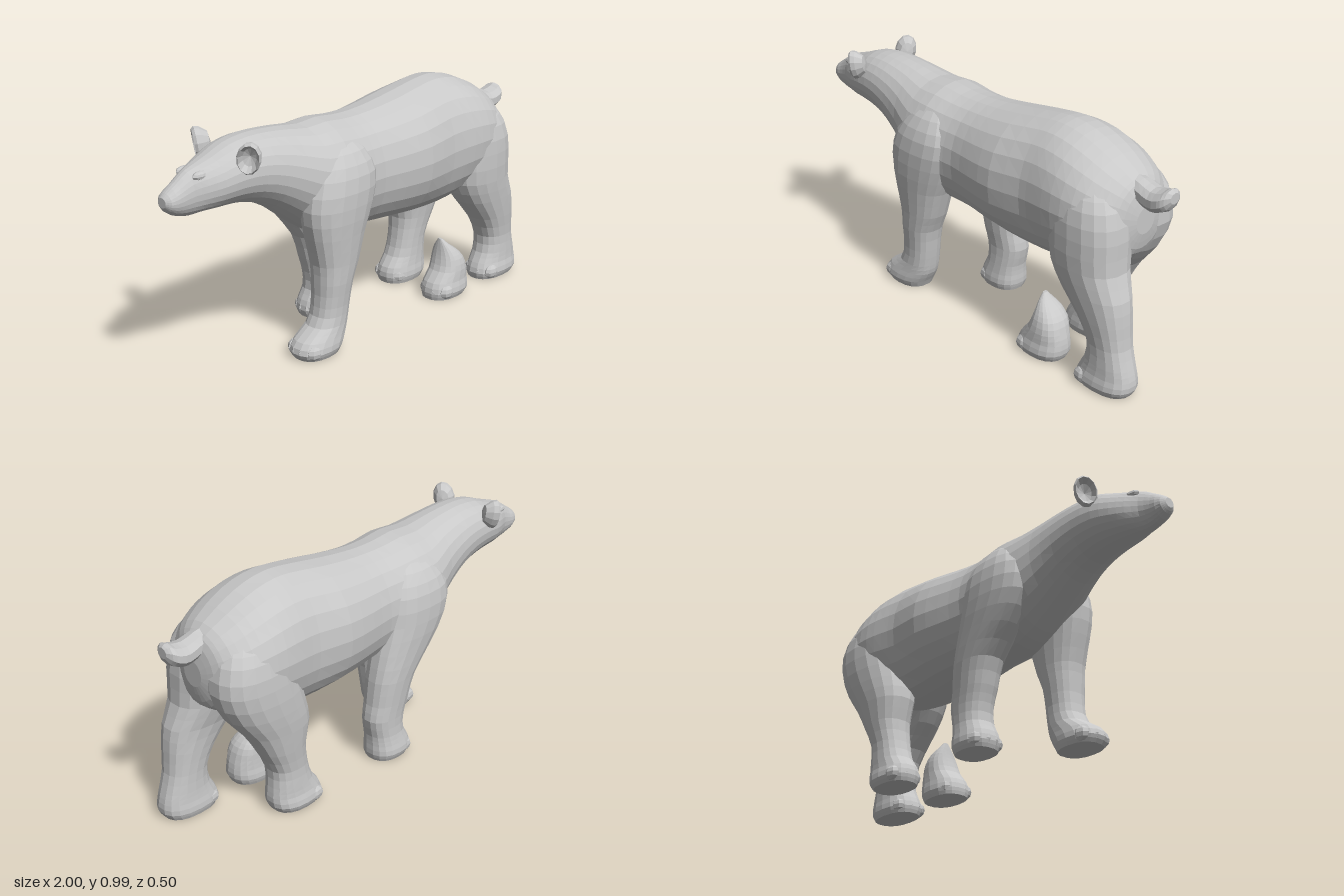
import * as THREE from 'three';

const grey = new THREE.MeshStandardMaterial({ color: 0xc8c8c8, flatShading: true });
grey.name = 'grey';

// Smoothly resample rows [position, a0, a1, b0, b1] along their first column
function resample(rows, sub) {
  const size = rows[0].length - 1;
  const spline = new THREE.CubicInterpolant(rows.map(r => r[0]), rows.flatMap(r => r.slice(1)), size);
  const out = [];
  for (let i = 0; i < rows.length - 1; i++) {
    for (let k = 0; k < sub; k++) {
      const p = rows[i][0] + (rows[i + 1][0] - rows[i][0]) * k / sub;
      out.push([p, ...Array.from(spline.evaluate(p)).slice(0, size)]);
    }
  }
  out.push(rows[rows.length - 1]);
  return out;
}

// Skin a stack of oval rings; place(p, u, v) maps to space with u x v pointing along p.
// A power below 1 squares the ovals off.
function loft(name, rows, place, sides, power) {
  const rings = resample(rows, 2);
  const soften = c => Math.sign(c) * Math.abs(c) ** power;
  const pos = [], index = [];
  for (const [p, u0, u1, v0, v1] of rings) {
    for (let j = 0; j < sides; j++) {
      const a = j / sides * Math.PI * 2;
      pos.push(...place(p, (u0 + u1) / 2 + (u1 - u0) / 2 * soften(Math.cos(a)),
        (v0 + v1) / 2 + (v1 - v0) / 2 * soften(Math.sin(a))));
    }
  }
  for (let i = 0; i < rings.length - 1; i++) {
    for (let j = 0; j < sides; j++) {
      const a = i * sides + j, b = i * sides + (j + 1) % sides;
      index.push(a, b, b + sides, a, b + sides, a + sides);
    }
  }
  const last = (rings.length - 1) * sides;
  for (let j = 1; j < sides - 1; j++) {
    index.push(0, j + 1, j, last, last + j, last + j + 1);
  }
  const geo = new THREE.BufferGeometry();
  geo.setAttribute('position', new THREE.Float32BufferAttribute(pos, 3));
  geo.setIndex(index);
  geo.computeVertexNormals();
  const mesh = new THREE.Mesh(geo, grey);
  mesh.name = name;
  return mesh;
}

// Rows along x: [x, bottom, top, half width]
const alongX = (name, rows, sides) =>
  loft(name, rows.map(([x, y0, y1, w]) => [x, y0, y1, -w, w]), (p, u, v) => [p, u, v], sides, 0.97);

// Rows upwards: [y, x0, x1, inner z, outer z], side = +1 or -1 in z
const alongY = (name, rows, side) =>
  loft(name, rows.map(([y, x0, x1, z0, z1]) => side > 0 ? [y, z0, z1, x0, x1] : [y, -z1, -z0, x0, x1]),
    (p, u, v) => [v, p, u], 18, 0.84);

function blob(name, x, y, z, rx, ry, rz) {
  const mesh = new THREE.Mesh(new THREE.SphereGeometry(1, 8, 6), grey);
  mesh.name = name;
  mesh.position.set(x, y, z);
  mesh.scale.set(rx, ry, rz);
  return mesh;
}

// Leg with four toes along the front of its paw
function leg(name, rows, side, toeX) {
  const g = new THREE.Group();
  g.name = name;
  g.add(alongY(name + 'Limb', rows, side));
  for (let i = 0; i < 4; i++) {
    const t = (i - 1.5) / 1.5;
    g.add(blob('toe', toeX + 0.045 + 0.018 * t * t, 0.036, side * (0.14 + t * 0.056), 0.045, 0.034, 0.026));
  }
  return g;
}

// Thick cupped ear facing the nose
function ear(side) {
  const profile = [[0, -0.026], [0.035, -0.022], [0.056, 0], [0.06, 0.014], [0.052, 0.022], [0.034, 0.004], [0, -0.006]]
    .map(([r, y]) => new THREE.Vector2(r, y));
  const geo = new THREE.LatheGeometry(profile, 12);
  geo.rotateZ(Math.PI / 2);
  const mesh = new THREE.Mesh(geo, grey);
  mesh.name = side > 0 ? 'earNear' : 'earFar';
  mesh.position.set(-0.685, 0.918, side * 0.136);
  mesh.rotation.set(side * 0.25, side * 0.6, 0);
  mesh.scale.set(1.35, 1.12, 0.8);
  return mesh;
}

export function createModel() {
  const bear = new THREE.Group();
  bear.name = 'bear';

  // Head, neck and trunk in one skin
  bear.add(alongX('body', [
    [-1, 0.765, 0.805, 0.022], [-0.985, 0.745, 0.82, 0.04], [-0.94, 0.72, 0.85, 0.05], [-0.89, 0.71, 0.883, 0.06],
    [-0.84, 0.712, 0.9, 0.085], [-0.78, 0.712, 0.92, 0.11], [-0.7, 0.71, 0.95, 0.13], [-0.6, 0.69, 0.963, 0.142],
    [-0.5, 0.643, 0.96, 0.155], [-0.4, 0.57, 0.95, 0.175], [-0.3, 0.495, 0.937, 0.208], [-0.2, 0.45, 0.943, 0.222],
    [-0.1, 0.443, 0.932, 0.213], [0, 0.438, 0.93, 0.207], [0.12, 0.428, 0.94, 0.225], [0.26, 0.417, 0.96, 0.243],
    [0.42, 0.407, 0.985, 0.23], [0.5, 0.413, 0.99, 0.236], [0.6, 0.435, 0.975, 0.244], [0.7, 0.47, 0.937, 0.236],
    [0.78, 0.505, 0.892, 0.205], [0.83, 0.53, 0.855, 0.16], [0.855, 0.565, 0.81, 0.11], [0.868, 0.63, 0.74, 0.05],
  ], 24));

  // Short upturned tail
  bear.add(alongX('tail', [
    [0.78, 0.765, 0.87, 0.045], [0.85, 0.755, 0.855, 0.052], [0.91, 0.742, 0.838, 0.058],
    [0.96, 0.755, 0.847, 0.06], [0.985, 0.772, 0.857, 0.048], [1, 0.8, 0.845, 0.025],
  ], 10));

  for (const side of [1, -1]) {
    bear.add(ear(side));
    bear.add(blob('brow', -0.85, 0.866, side * 0.046, 0.04, 0.018, 0.02));
  }

  // Near foreleg and shoulder
  bear.add(leg('forelegNear', [
    [0, -0.45, -0.25, 0.065, 0.215], [0.03, -0.468, -0.235, 0.055, 0.228], [0.075, -0.445, -0.21, 0.06, 0.222],
    [0.12, -0.375, -0.2, 0.065, 0.215], [0.2, -0.347, -0.188, 0.07, 0.215], [0.3, -0.345, -0.172, 0.065, 0.225],
    [0.38, -0.35, -0.138, 0.06, 0.23], [0.5, -0.38, -0.1, 0.05, 0.24], [0.62, -0.4, -0.05, 0.04, 0.248],
    [0.74, -0.37, -0.03, 0.04, 0.239], [0.83, -0.31, -0.07, 0.04, 0.196], [0.89, -0.25, -0.13, 0.05, 0.13],
  ], 1, -0.47));

  // Far foreleg and shoulder
  bear.add(leg('forelegFar', [
    [0, -0.135, 0.05, 0.065, 0.215], [0.03, -0.145, 0.06, 0.055, 0.228], [0.075, -0.135, 0.06, 0.06, 0.222],
    [0.12, -0.112, 0.062, 0.065, 0.215], [0.2, -0.115, 0.078, 0.07, 0.215], [0.27, -0.135, 0.066, 0.065, 0.22],
    [0.38, -0.17, 0.055, 0.06, 0.23], [0.5, -0.27, 0.03, 0.05, 0.24], [0.62, -0.35, 0, 0.04, 0.248],
    [0.74, -0.36, -0.02, 0.04, 0.239], [0.83, -0.31, -0.07, 0.04, 0.196], [0.89, -0.25, -0.13, 0.05, 0.13],
  ], -1, -0.15));

  // Near hind leg and thigh
  bear.add(leg('hindLegNear', [
    [0, 0.705, 0.945, 0.06, 0.21], [0.03, 0.695, 0.963, 0.05, 0.223], [0.075, 0.71, 0.962, 0.055, 0.215],
    [0.12, 0.735, 0.95, 0.058, 0.212], [0.2, 0.742, 0.928, 0.058, 0.21], [0.3, 0.69, 0.92, 0.05, 0.222],
    [0.4, 0.6, 0.908, 0.035, 0.234], [0.5, 0.54, 0.872, 0.002, 0.244], [0.63, 0.53, 0.868, -0.012, 0.248],
    [0.75, 0.53, 0.845, -0.01, 0.232], [0.83, 0.56, 0.79, 0, 0.185], [0.89, 0.6, 0.72, 0.03, 0.12],
  ], 1, 0.695));

  // Far hind leg and thigh
  bear.add(leg('hindLegFar', [
    [0, 0.385, 0.6, 0.06, 0.21], [0.03, 0.375, 0.62, 0.05, 0.223], [0.075, 0.385, 0.625, 0.055, 0.215],
    [0.12, 0.42, 0.62, 0.058, 0.212], [0.2, 0.445, 0.62, 0.058, 0.21], [0.3, 0.455, 0.67, 0.05, 0.222],
    [0.4, 0.435, 0.73, 0.035, 0.234], [0.5, 0.45, 0.81, 0.002, 0.244], [0.63, 0.49, 0.865, -0.012, 0.248],
    [0.75, 0.53, 0.845, -0.01, 0.232], [0.83, 0.56, 0.79, 0, 0.185], [0.89, 0.6, 0.72, 0.03, 0.12],
  ], -1, 0.375));

  // Loose paw standing under the belly, drawn up to a point
  bear.add(leg('loosePaw', [
    [0, 0.375, 0.585, 0.06, 0.21], [0.03, 0.37, 0.6, 0.05, 0.223], [0.075, 0.385, 0.6, 0.055, 0.215],
    [0.12, 0.425, 0.59, 0.058, 0.212], [0.17, 0.445, 0.572, 0.06, 0.2], [0.205, 0.453, 0.54, 0.07, 0.18],
    [0.235, 0.458, 0.5, 0.09, 0.155], [0.26, 0.462, 0.476, 0.11, 0.13],
  ], 1, 0.37));

  return bear;
}
